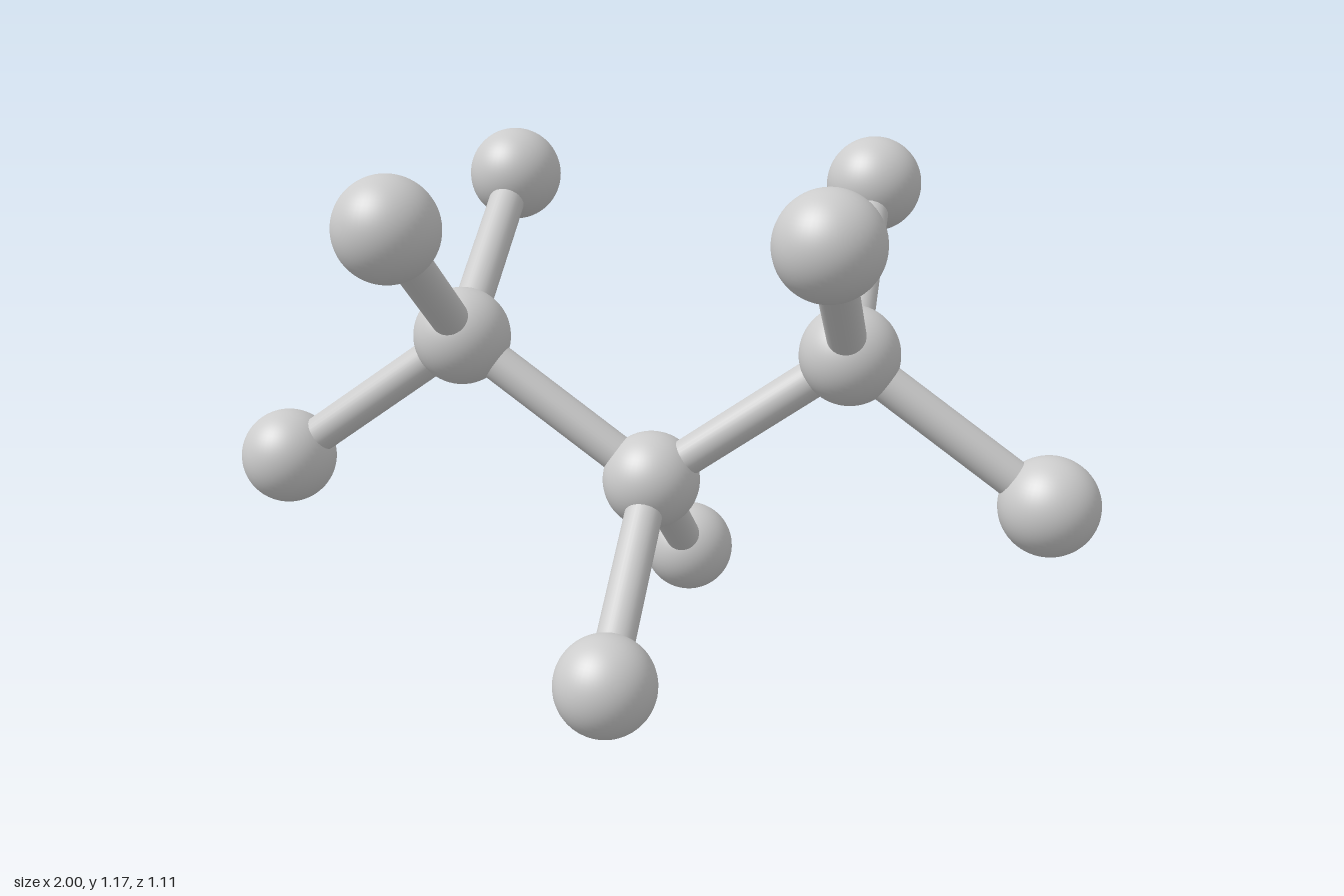
import * as THREE from 'three';

const BALL = 0.1115, ROD = 0.043;
const DX = 0.4443, DY = 0.3155; // horizontal and vertical step of every rod

export function createModel() {
  const model = new THREE.Group();
  const material = new THREE.MeshStandardMaterial({ color: 0xcccccc });
  const ballGeometry = new THREE.SphereGeometry(BALL, 48, 32);
  const up = new THREE.Vector3(0, 1, 0);

  // Point on the lattice of steps
  const at = (i, level, k) => new THREE.Vector3(i * DX, BALL + level * DY, k * DX);

  function addBall(name, position) {
    const ball = new THREE.Mesh(ballGeometry, material);
    ball.name = name;
    ball.position.copy(position);
    model.add(ball);
  }

  function addRod(name, from, to) {
    const direction = to.clone().sub(from);
    const rod = new THREE.Mesh(new THREE.CylinderGeometry(ROD, ROD, direction.length(), 32), material);
    rod.name = name;
    rod.position.copy(from).add(to).multiplyScalar(0.5);
    rod.quaternion.setFromUnitVectors(up, direction.normalize());
    model.add(rod);
  }

  function addBranch(name, from, to) {
    addBall(name + 'Ball', to);
    addRod(name + 'Rod', from, to);
  }

  // Middle joint with its two lower branches
  const middle = at(0, 1, 0);
  addBall('middleJoint', middle);
  addBranch('lowerFront', middle, at(0, 0, 1));
  addBranch('lowerBack', middle, at(0, 0, -1));

  // Left and right joints, each with an outer and two upper branches
  for (const [side, s] of [['left', 1], ['right', -1]]) {
    const joint = at(s, 2, 0);
    addBall(side + 'Joint', joint);
    addRod(side + 'ChainRod', middle, joint);
    addBranch(side + 'Outer', joint, at(2 * s, 1, 0));
    addBranch(side + 'UpperFront', joint, at(s, 3, 1));
    addBranch(side + 'UpperBack', joint, at(s, 3, -1));
  }
  return model;
}
